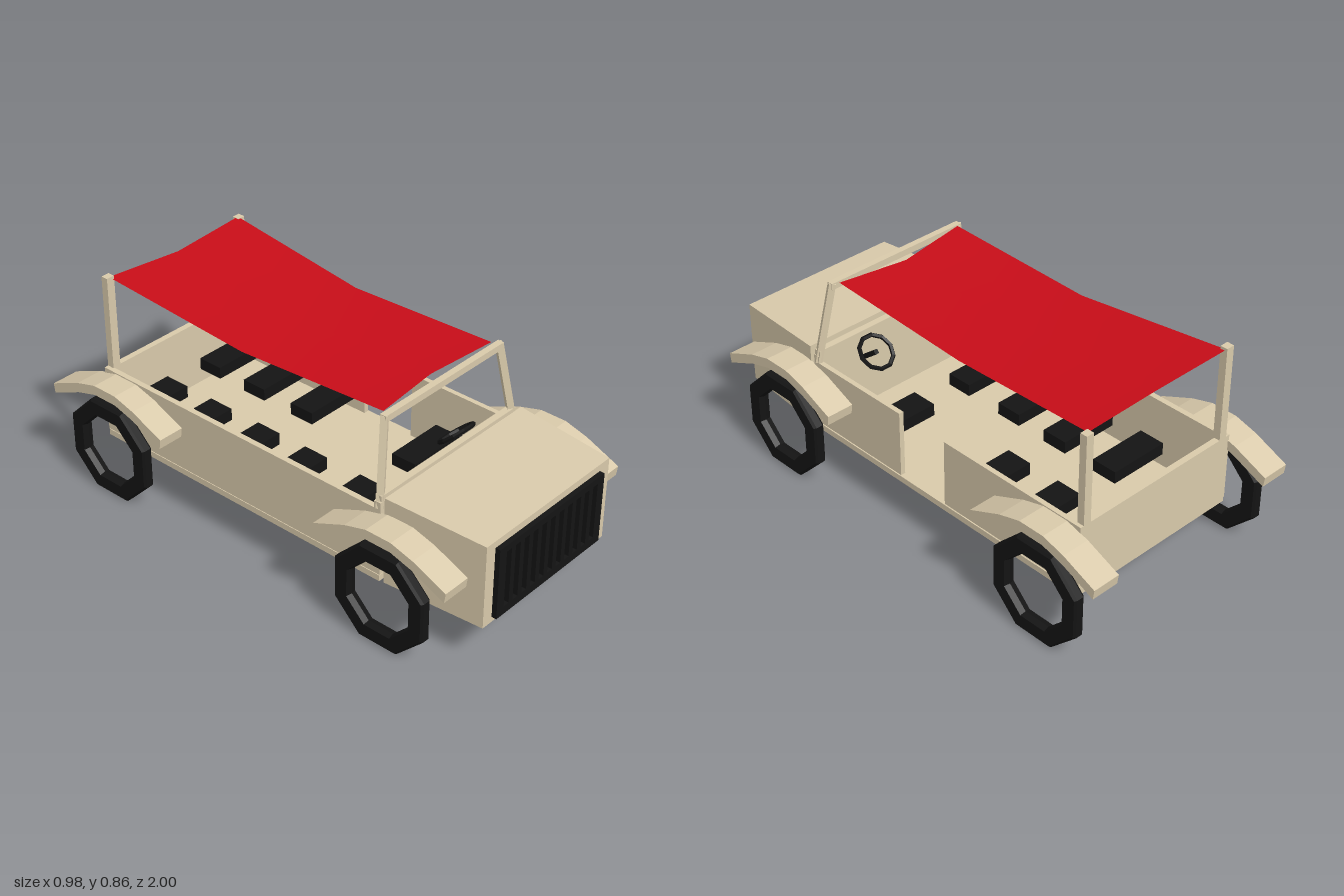
import * as THREE from 'three';

const paint = (color) => new THREE.MeshStandardMaterial({ color, flatShading: true, side: THREE.DoubleSide });

export function createModel() {
  const model = new THREE.Group();
  const beige = paint(0xd9caab);
  const black = paint(0x141414);
  const red = paint(0xc80d18);

  const add = (name, geometry, material) => {
    const mesh = new THREE.Mesh(geometry, material);
    mesh.name = name;
    model.add(mesh);
    return mesh;
  };
  // Box given by its limits on each axis
  const block = (name, [x0, x1], [y0, y1], [z0, z1], material = beige) => {
    const mesh = add(name, new THREE.BoxGeometry(x1 - x0, y1 - y0, z1 - z0), material);
    mesh.position.set((x0 + x1) / 2, (y0 + y1) / 2, (z0 + z1) / 2);
    return mesh;
  };
  // Square bar between two points
  const bar = (name, a, b, w, material = beige) => {
    const from = new THREE.Vector3(...a), to = new THREE.Vector3(...b);
    const mesh = add(name, new THREE.BoxGeometry(w, w, from.distanceTo(to)), material);
    mesh.position.copy(from).add(to).multiplyScalar(0.5);
    mesh.lookAt(to);
    return mesh;
  };

  // Open tub with a doorway on the left side only
  block('floor', [-0.383, 0.38], [0.18, 0.205], [-0.815, 0.555]);
  block('rightWall', [-0.38, -0.357], [0.205, 0.48], [-0.81, 0.55]);
  block('leftFrontWall', [0.355, 0.375], [0.205, 0.48], [0.08, 0.55]);
  block('leftRearWall', [0.355, 0.375], [0.205, 0.48], [-0.81, -0.155]);
  block('rearWall', [-0.38, 0.375], [0.205, 0.48], [-0.82, -0.795]);
  block('firewall', [-0.38, 0.376], [0.205, 0.51], [0.525, 0.553]);

  // Hood narrows and drops towards the front
  const hood = new THREE.BoxGeometry(2, 1, 1);
  const p = hood.attributes.position;
  for (let i = 0; i < p.count; i++) {
    const front = p.getZ(i) > 0, top = p.getY(i) > 0;
    const half = front ? 0.345 : 0.378;
    p.setXYZ(i, p.getX(i) * half, top ? (front ? 0.52 : 0.538) : 0.18, front ? 0.98 : 0.57);
  }
  hood.computeVertexNormals();
  add('hood', hood, beige);

  // Grille: frame with a row of slots
  const grille = new THREE.Shape()
    .moveTo(-0.298, 0.202).lineTo(0.292, 0.202).lineTo(0.292, 0.492).lineTo(-0.298, 0.492);
  for (let i = 0; i < 11; i++) {
    const x = -0.26 + i * 0.0488;
    grille.holes.push(new THREE.Path()
      .moveTo(x, 0.235).lineTo(x, 0.466).lineTo(x + 0.027, 0.466).lineTo(x + 0.027, 0.235));
  }
  add('grille', new THREE.ExtrudeGeometry(grille, { depth: 0.02, bevelEnabled: false }), black).position.z = 0.98;

  // Raked windshield frame
  for (const s of [-1, 1]) bar('windshieldPost', [s * 0.367, 0.48, 0.54], [s * 0.31, 0.812, 0.506], 0.026);
  bar('windshieldTop', [-0.32, 0.803, 0.507], [0.32, 0.803, 0.507], 0.026);
  bar('windshieldBase', [-0.372, 0.518, 0.537], [0.372, 0.518, 0.537], 0.028);

  // Rear canopy posts
  block('rightRearPost', [-0.362, -0.327], [0.205, 0.865], [-0.82, -0.79]);
  block('leftRearPost', [0.327, 0.36], [0.205, 0.845], [-0.82, -0.79]);

  // Sagging cloth canopy, three cross-sections from back to front
  const rows = [
    [[-0.335, 0.855, -0.81], [0, 0.835, -0.79], [0.34, 0.845, -0.805]],
    [[-0.31, 0.788, -0.155], [0, 0.781, -0.155], [0.3, 0.788, -0.155]],
    [[-0.298, 0.815, 0.49], [0, 0.805, 0.45], [0.292, 0.815, 0.485]],
  ];
  const cloth = new THREE.PlaneGeometry(1, 1, 2, 2);
  rows.flat().forEach((v, i) => cloth.attributes.position.setXYZ(i, ...v));
  cloth.computeVertexNormals();
  const canopyMaterial = red.clone();
  canopyMaterial.flatShading = false;
  add('canopy', cloth, canopyMaterial);

  // Seat cushions in pairs; the doorway row has one on the right only
  for (const z of [-0.735, -0.495, -0.245, -0.005, 0.265]) {
    block('seat', [-0.345, -0.09], [0.267, 0.317], [z - 0.055, z + 0.055], black);
    if (z !== -0.005) block('seat', [0.09, 0.345], [0.267, 0.317], [z - 0.055, z + 0.055], black);
  }

  // Steering wheel and column
  const wheel = add('steeringWheel', new THREE.TorusGeometry(0.07, 0.009, 5, 10), black);
  wheel.position.set(0.165, 0.475, 0.445);
  wheel.rotation.x = 0.87;
  bar('steeringColumn', [0.165, 0.475, 0.445], [0.165, 0.41, 0.53], 0.018, black);

  // Octagonal tyre rings
  const profile = [[0.15, -0.023], [0.207, -0.023], [0.2155, -0.014], [0.2155, 0.014],
    [0.207, 0.023], [0.15, 0.023], [0.143, 0], [0.15, -0.023]].map(([r, y]) => new THREE.Vector2(r, y));
  const tyre = new THREE.LatheGeometry(profile, 8, Math.PI / 8).rotateZ(Math.PI / 2);

  // Fender: bent strip, same rule for all four wheels
  const top = [[-0.293, 0.386], [-0.15, 0.448], [-0.055, 0.475], [0.055, 0.475], [0.15, 0.448], [0.293, 0.386]];
  const strip = new THREE.Shape([
    ...top.map(([z, y]) => new THREE.Vector2(z, y)),
    ...top.map(([z, y]) => new THREE.Vector2(z * 0.98, y - 0.04)).reverse(),
  ]);
  const fender = new THREE.ExtrudeGeometry(strip, { depth: 0.116, bevelEnabled: false })
    .translate(0, 0, -0.058).rotateY(Math.PI / 2);

  for (const s of [-1, 1]) {
    for (const [wheelZ, fenderZ] of [[0.633, 0.637], [-0.712, -0.703]]) {
      add('tyre', tyre, black).position.set(s * 0.463, 0.2, wheelZ);
      add('fender', fender, beige).position.set(s * 0.432, 0, fenderZ);
    }
  }
  return model;
}
